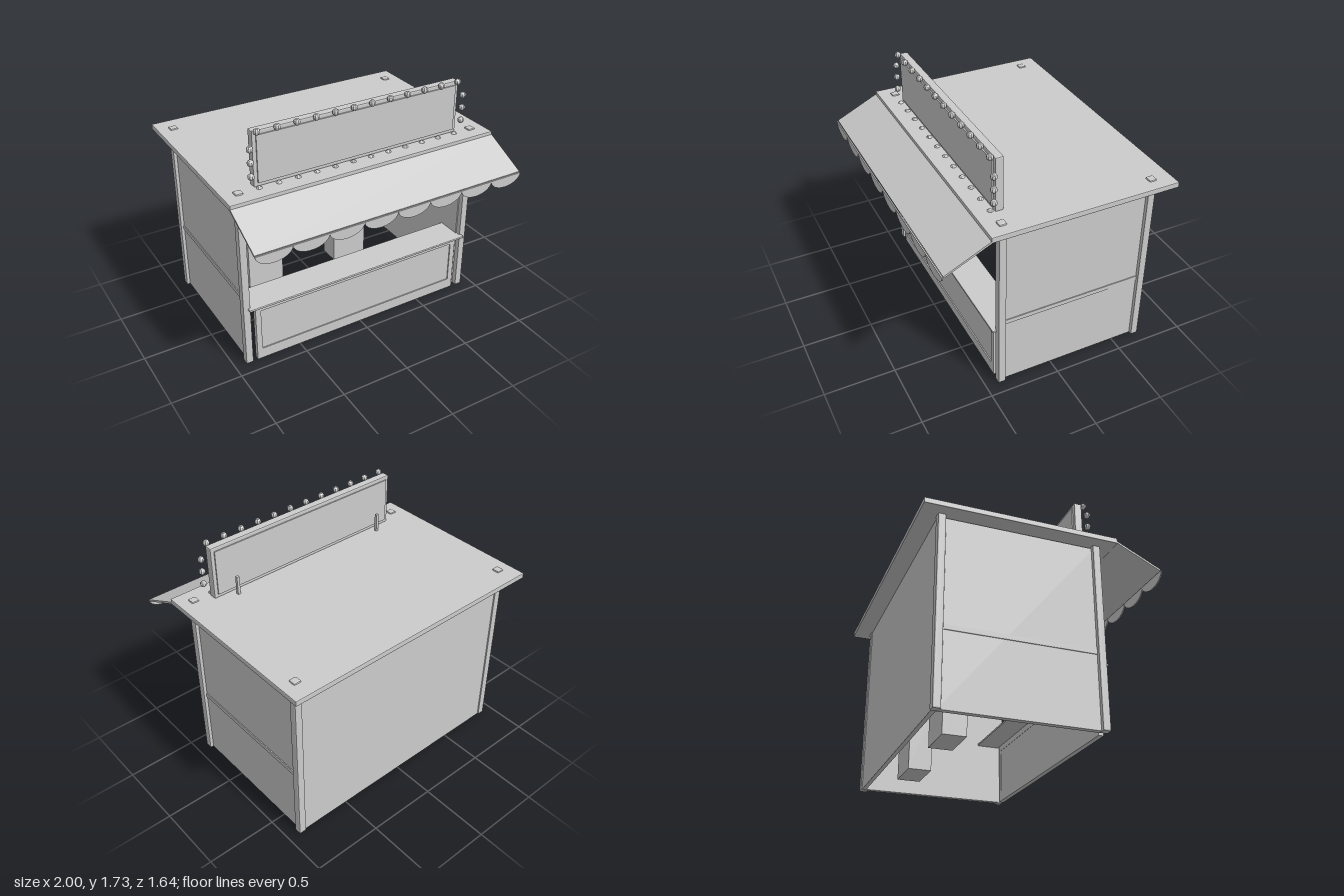
import * as THREE from 'three';
import { RoundedBoxGeometry } from 'three/addons/geometries/RoundedBoxGeometry.js';

export function createModel() {
  const model = new THREE.Group();
  model.name = 'fairStall';
  const grey = new THREE.MeshStandardMaterial({ color: 0xcccccc, flatShading: true });
  grey.name = 'plain grey';

  const add = (name, geometry, x = 0, y = 0, z = 0, parent = model) => {
    const mesh = new THREE.Mesh(geometry, grey);
    mesh.name = name;
    mesh.position.set(x, y, z);
    parent.add(mesh);
    return mesh;
  };
  // Box given by its limits on each axis; bevel > 0 chamfers the edges
  const box = (name, [x0, x1], [y0, y1], [z0, z1], bevel = 0) => {
    const size = [x1 - x0, y1 - y0, z1 - z0];
    const g = bevel ? new RoundedBoxGeometry(...size, 1, bevel) : new THREE.BoxGeometry(...size);
    return add(name, g, (x0 + x1) / 2, (y0 + y1) / 2, (z0 + z1) / 2);
  };

  // Corner posts, side walls and waist rails
  for (const s of [-1, 1]) {
    const span = (a, b) => (s > 0 ? [a, b] : [-b, -a]);
    box('frontPost', span(0.865, 0.92), [0, 1.335], [0.357, 0.412], 0.009);
    box('backPost', span(0.865, 0.92), [0, 1.335], [-0.705, -0.65], 0.009);
    box('sideWall', span(0.857, 0.895), [0.005, 1.275], [-0.67, 0.375]);
    box('sideRail', span(0.86, 0.901), [0.505, 0.537], [-0.655, 0.36]);
  }
  box('backWall', [-0.875, 0.875], [0.005, 1.285], [-0.695, -0.665]);
  box('backRail', [-0.857, 0.857], [0.47, 0.5], [-0.67, -0.655]);

  // Roof slab
  box('roof', [-1, 1], [1.285, 1.325], [-0.82, 0.5], 0.006);

  // Front panel with a recessed field, and the counter
  const frame = new THREE.Shape();
  frame.moveTo(-0.83, 0).lineTo(0.83, 0).lineTo(0.83, 0.445).lineTo(-0.83, 0.445).closePath();
  const hole = new THREE.Path();
  hole.moveTo(-0.79, 0.08).lineTo(-0.79, 0.4).lineTo(0.79, 0.4).lineTo(0.79, 0.08).closePath();
  frame.holes.push(hole);
  add('frontFrame', new THREE.ExtrudeGeometry(frame, { depth: 0.035, bevelEnabled: false }), 0, 0, 0.37);
  box('frontPanel', [-0.8, 0.8], [0.07, 0.41], [0.372, 0.397]);
  box('counter', [-0.885, 0.885], [0.443, 0.461], [0.2, 0.44], 0.007);

  // Back shelves with brackets
  for (const y of [0.717, 0.983]) {
    box('shelf', [-0.81, 0.81], [y - 0.008, y + 0.008], [-0.67, -0.53]);
    for (const x of [-0.665, 0, 0.665])
      box('shelfBracket', [x - 0.007, x + 0.007], [y - 0.075, y - 0.008], [-0.67, -0.56]);
  }

  // Plinths carrying pyramids of bottles
  const bottleProfile = [[0, 0], [0.041, 0], [0.041, 0.085], [0.028, 0.1], [0.028, 0.123], [0, 0.123]]
    .map(([r, y]) => new THREE.Vector2(r, y));
  const bottle = new THREE.LatheGeometry(bottleProfile, 10);
  for (const cx of [-0.375, 0.375]) {
    box('plinth', [cx - 0.143, cx + 0.143], [0.002, 0.437], [-0.52, -0.36]);
    for (let row = 0; row < 3; row++)
      for (let i = 0; i < 3 - row; i++)
        add('bottle', bottle, cx + (i - (2 - row) / 2) * 0.09, 0.437 + row * 0.124, -0.44);
  }

  // Sloping awning and scalloped valance
  const slope = new THREE.Shape();
  slope.moveTo(0.495, 1.287).lineTo(0.805, 1.14).lineTo(0.81, 1.152).lineTo(0.5, 1.3).closePath();
  const awning = add('awning', new THREE.ExtrudeGeometry(slope, { depth: 2, bevelEnabled: false }), 1);
  awning.rotation.y = -Math.PI / 2;
  const scallop = new THREE.Shape();
  scallop.absellipse(0, 0, 0.125, 0.075, Math.PI, 2 * Math.PI, false);
  scallop.closePath();
  const scallopGeometry = new THREE.ExtrudeGeometry(scallop, { depth: 0.009, bevelEnabled: false, curveSegments: 14 });
  for (let i = 0; i < 8; i++) add('valanceScallop', scallopGeometry, -0.875 + i * 0.25, 1.147, 0.811);

  // Sign board with raised fields on both faces, and rear props
  box('signBoard', [-0.775, 0.775], [1.322, 1.705], [0.31, 0.367], 0.008);
  box('signField', [-0.748, 0.748], [1.35, 1.677], [0.302, 0.376]);
  for (const x of [-0.622, 0.622]) box('signProp', [x - 0.01, x + 0.01], [1.32, 1.46], [0.248, 0.268]);

  // Bulbs around the sign
  const bulb = new THREE.SphereGeometry(0.023, 8, 6);
  for (let i = 0; i < 12; i++) {
    const x = -0.75 + i * (1.5 / 11);
    add('topBulb', bulb, x, 1.707, 0.39);
    add('bottomBulb', bulb, x, 1.315, 0.39);
  }
  for (const x of [-0.802, 0.802])
    for (const y of [1.415, 1.51, 1.602]) add('sideBulb', bulb, x, y, 0.39);

  return model;
}
